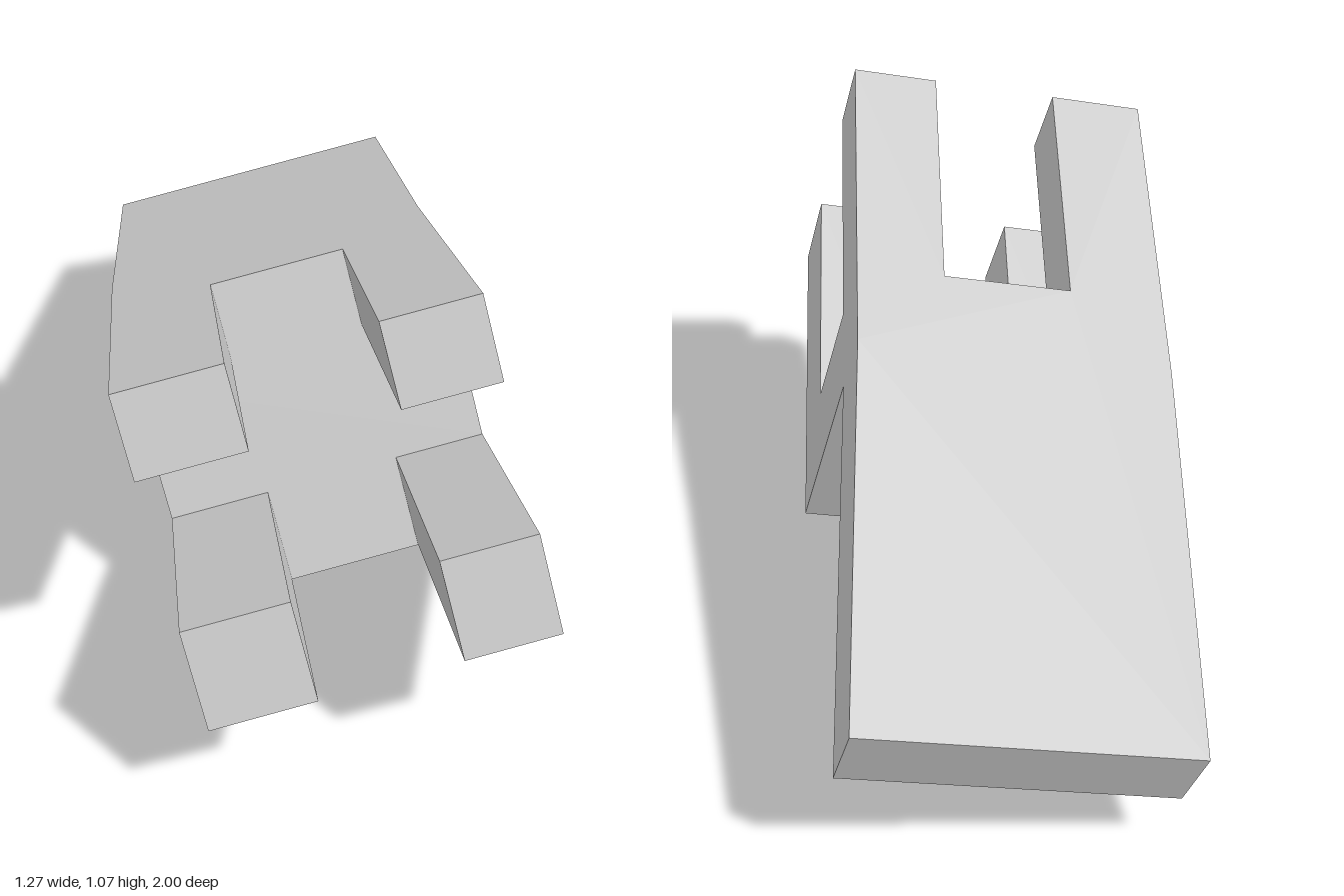
import * as THREE from 'three';

const W = 0.706;      // overall width
const TIP = 0.813;    // prong tips
const ROOT = 0.204;   // front face of the post
const TAIL = -0.935;  // rear end of the plate
const SKEW = 0.023;   // sideways drift of the rear plate
const TOP = -0.175, SLOT = -0.486, BOTTOM = -0.699;

// Flat outline of [x, z] points raised from y0 to y1
function slab(points, y0, y1) {
  const shape = new THREE.Shape(points.map(([x, z]) => new THREE.Vector2(x, -z)));
  const g = new THREE.ExtrudeGeometry(shape, { depth: y1 - y0, bevelEnabled: false });
  g.rotateX(-Math.PI / 2);
  g.translate(0, y0, 0);
  return g;
}

export function createModel() {
  const grey = new THREE.MeshStandardMaterial({ color: 0xcccccc });
  grey.name = 'light grey';

  const body = new THREE.Group();
  body.name = 'forkedBracket';
  const add = (name, geometry) => {
    const mesh = new THREE.Mesh(geometry, grey);
    mesh.name = name;
    body.add(mesh);
  };

  // Two prongs with a gap between them, shared by both levels
  const fork = [
    [0, 0], [0, TIP], [-0.197, TIP], [-0.197, ROOT],
    [-0.488, ROOT], [-0.488, TIP], [-W, TIP], [-W, 0],
  ];

  // Upper fork runs on into the long rear plate
  add('upperForkAndPlate', slab([...fork, [SKEW - W, TAIL], [SKEW, TAIL]], TOP, 0));
  add('lowerFork', slab(fork, BOTTOM, SLOT));

  // Post joining the two levels
  add('post', slab([[0, 0], [0, ROOT], [-W, ROOT], [-W, 0]], SLOT, TOP));

  // Tilted resting pose
  const across = new THREE.Vector3(0.942, 0.204, 0.267).normalize();
  const forward = new THREE.Vector3(-0.328, 0.346, 0.879);
  const up = forward.clone().cross(across).normalize();
  forward.crossVectors(across, up);
  body.quaternion.setFromRotationMatrix(new THREE.Matrix4().makeBasis(across, up, forward));
  body.position.set(0.297, 0.791, 0.01);

  const model = new THREE.Group();
  model.name = 'model';
  model.add(body);
  return model;
}
